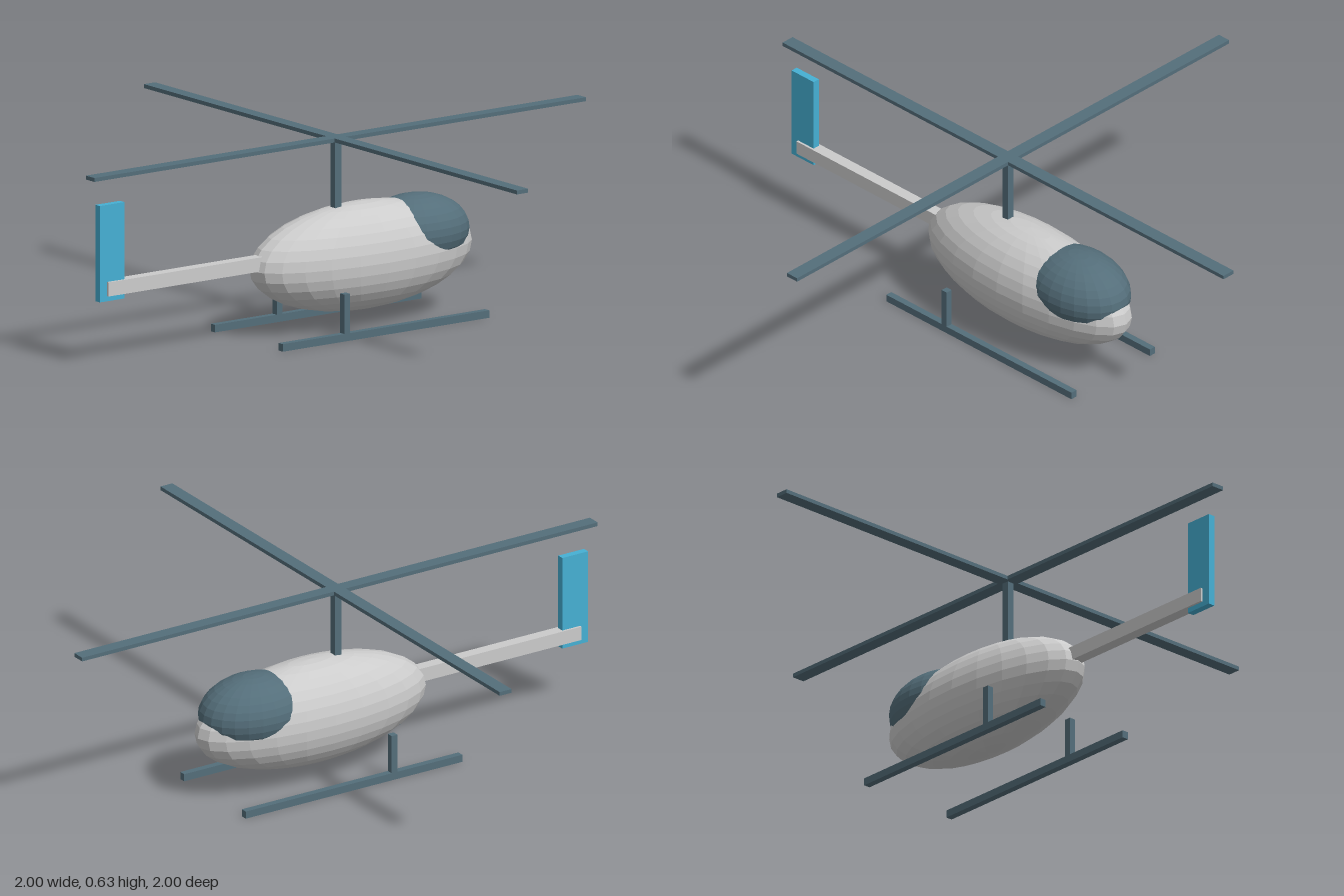
import * as THREE from 'three';

const material = (color) => new THREE.MeshStandardMaterial({ color, flatShading: true });

export function createModel() {
  const model = new THREE.Group();
  const grey = material(0xcccccc);
  const slate = material(0x546e7a);
  const blue = material(0x46b0d4);

  const add = (name, geometry, mat, x, y, z) => {
    const mesh = new THREE.Mesh(geometry, mat);
    mesh.name = name;
    mesh.position.set(x, y, z);
    model.add(mesh);
    return mesh;
  };

  // box given by its extents along each axis
  const box = (name, mat, [x0, x1], [y0, y1], [z0, z1]) =>
    add(name, new THREE.BoxGeometry(x1 - x0, y1 - y0, z1 - z0), mat,
      (x0 + x1) / 2, (y0 + y1) / 2, (z0 + z1) / 2);

  const ellipsoid = (name, mat, [x, y, z], [rx, ry, rz], around, rings) =>
    add(name, new THREE.SphereGeometry(1, around, rings).scale(rx, ry, rz), mat, x, y, z);

  // cabin and its window bubble
  ellipsoid('fuselage', grey, [0.1, 0.227, 0], [0.437, 0.178, 0.157], 24, 16);
  ellipsoid('canopy', slate, [0.32, 0.28, 0], [0.196, 0.122, 0.141], 24, 16);

  // tail
  box('tailBoom', grey, [-0.94, -0.25], [0.23, 0.277], [-0.02, 0.02]);
  box('tailFin', blue, [-0.97, -0.87], [0.213, 0.533], [-0.012, 0.012]);

  // mast and crossed rotor blades
  box('rotorMast', slate, [-0.013, 0.013], [0.36, 0.622], [-0.013, 0.013]);
  box('rotorBladeLengthwise', slate, [-1, 1], [0.619, 0.632], [-0.023, 0.023]);
  box('rotorBladeCrosswise', slate, [-0.023, 0.023], [0.619, 0.632], [-1, 1]);

  // landing skids, each with one strut
  for (const [side, s] of [['front', 1], ['back', -1]]) {
    const z = s > 0 ? [0.17, 0.193] : [-0.193, -0.17];
    box(side + 'Skid', slate, [-0.363, 0.477], [0, 0.025], z);
    box(side + 'SkidStrut', slate, [-0.112, -0.089], [0.02, 0.156], z);
  }

  return model;
}
